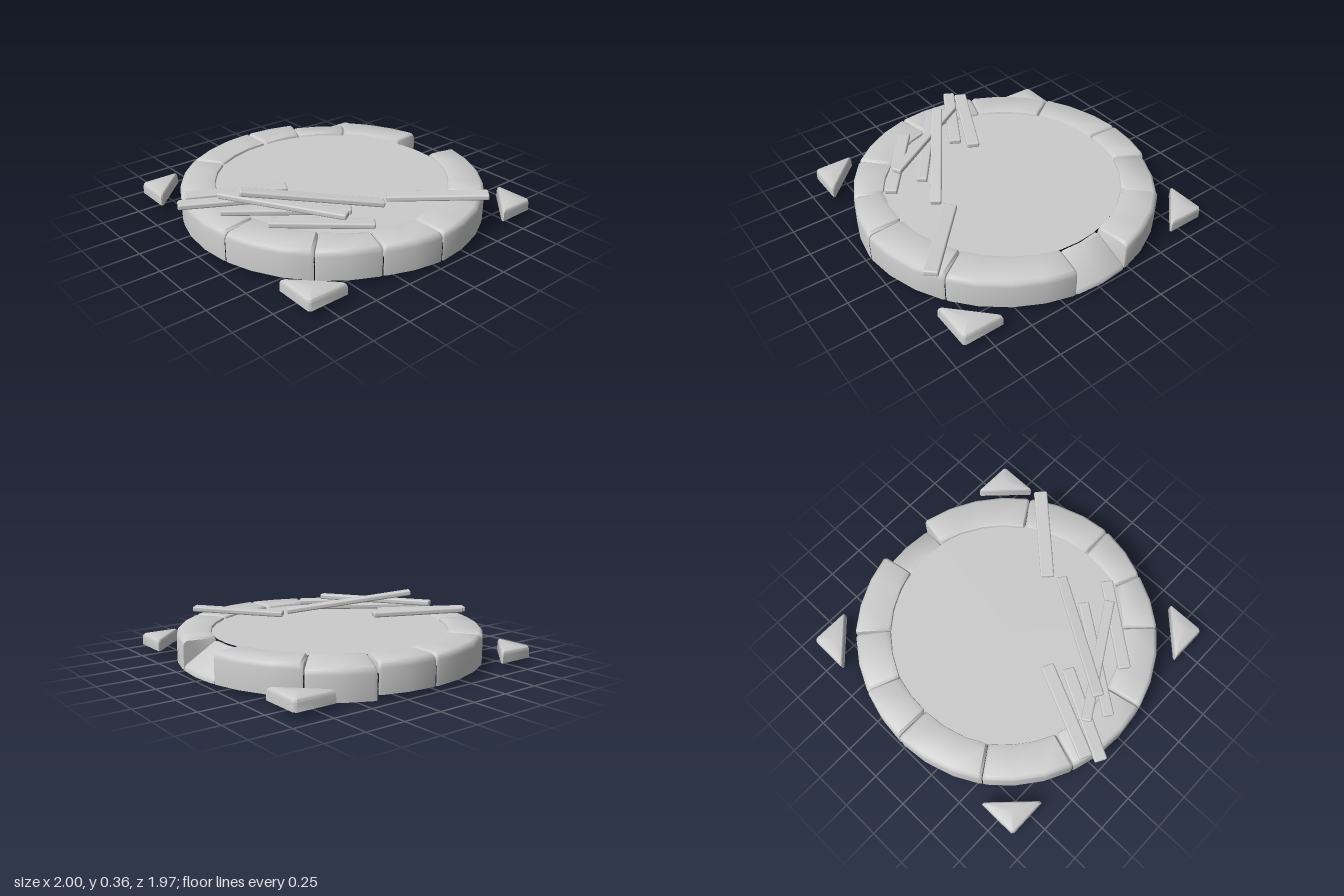
import * as THREE from 'three';
import { toCreasedNormals } from 'three/addons/utils/BufferGeometryUtils.js';
import { RoundedBoxGeometry } from 'three/addons/geometries/RoundedBoxGeometry.js';

const CX = 0.02; // ring centre on x

// Joints between rim stones: outer x, z then inner x, z
const JOINTS = [
  [0.025, -0.99, 0.025, -0.75], [0.39, -0.92, 0.3, -0.71], [0.73, -0.71, 0.57, -0.53],
  [0.99, -0.2, 0.77, -0.16], [0.99, 0.17, 0.78, 0.13], [0.585, 0.8, 0.45, 0.6],
  [0.03, 0.98, 0.02, 0.74], [-0.34, 0.88, -0.275, 0.7], [-0.665, 0.675, -0.5, 0.51],
  [-0.93, 0.19, -0.69, 0.14], [-0.88, -0.37, -0.66, -0.3], [-0.53, -0.82, -0.4, -0.63],
];

// Stone sections: [0 = inner edge .. 1 = outer edge, height]
const BLOCK = [[1, 0.03], [1, 0.18], [0.975, 0.205], [0.89, 0.22], [0.15, 0.22], [0.04, 0.213], [0, 0.185]];
const SAGGED = BLOCK.map(([t, y]) => [t, y - 0.03 * t]);
const FALLEN = [[1, 0.03], [1, 0.04], [0.95, 0.06], [0.1, 0.19], [0, 0.19]];

// Skin a grid of points, rows running along the loft
function loft(rows, crease) {
  const n = rows[0].length, index = [];
  for (let i = 0; i + 1 < rows.length; i++) {
    for (let j = 0; j + 1 < n; j++) {
      const a = i * n + j, c = a + n;
      index.push(a, a + 1, c, a + 1, c + 1, c);
    }
  }
  const geo = new THREE.BufferGeometry();
  geo.setAttribute('position', new THREE.Float32BufferAttribute(rows.flat(2), 3));
  geo.setIndex(index);
  return toCreasedNormals(geo, crease);
}

// Point on an arc between two joints, given as x, z pairs
function arcPoint(x0, z0, x1, z1, u) {
  const a0 = Math.atan2(z0, x0 - CX);
  let da = Math.atan2(z1, x1 - CX) - a0;
  if (da < 0) da += Math.PI * 2;
  const r = THREE.MathUtils.lerp(Math.hypot(x0 - CX, z0), Math.hypot(x1 - CX, z1), u);
  return [CX + r * Math.cos(a0 + da * u), r * Math.sin(a0 + da * u), da];
}

// Curved, hollow rim stone with rounded ends
function stoneGeometry(A, B, section, skirt0, skirt1) {
  const span = arcPoint(A[0], A[1], B[0], B[1], 0)[2];
  const segs = Math.max(2, Math.round(span / 0.19));
  const bevel = 0.02 / span;
  const row = (u, end, skirt) => {
    const o = arcPoint(A[0], A[1], B[0], B[1], u);
    const i = arcPoint(A[2], A[3], B[2], B[3], u);
    return section.map(([t, y]) => {
      const s = end ? 0.5 + (t - 0.5) * 0.96 : t;
      let h = end && y > 0.1 ? y - 0.014 : y;
      if (skirt !== undefined) h = Math.min(h, skirt);
      return [i[0] + (o[0] - i[0]) * s, h, i[1] + (o[1] - i[1]) * s];
    });
  };
  const e = 0.003 / span;
  const rows = [row(e, true, skirt0), row(e, true), row(bevel, false)];
  for (let k = 1; k < segs; k++) rows.push(row(k / segs, false));
  rows.push(row(1 - bevel, false), row(1 - e, true), row(1 - e, true, skirt1));
  return loft(rows, 0.8);
}

// Hollow triangular corner block, right angle at the outer corner
function cornerGeometry(sx, sz) {
  const L = 0.275;
  let pts = [[0, 0], [-L * sx, 0], [0, -L * sz]];
  if (sx * sz > 0) pts = [pts[0], pts[2], pts[1]];
  // clip each corner a little so the outline is softened
  const outline = [];
  pts.forEach((p, i) => {
    for (const q of [pts[(i + 2) % 3], pts[(i + 1) % 3]]) {
      outline.push([p[0] + (q[0] - p[0]) * 0.05, p[1] + (q[1] - p[1]) * 0.05]);
    }
  });
  const cx = -L * sx / 3, cz = -L * sz / 3;
  const levels = [[1, 0.04], [0.99, 0.09], [0.95, 0.107], [0.86, 0.115], [0, 0.116]];
  // columns run up the side, rows run round the outline
  const rows = [...outline, outline[0]].map(([x, z]) =>
    levels.map(([s, y]) => [cx + (x - cx) * s, y, cz + (z - cz) * s]));
  return loft(rows, 0.8);
}

// Planks: start x, y, z, end x, y, z, width
const PLANKS = [
  [-0.98, 0.238, -0.24, -0.44, 0.238, 0.055, 0.08],
  [-0.9, 0.25, -0.29, -0.33, 0.24, -0.02, 0.085],
  [-0.755, 0.285, -0.13, -0.335, 0.28, 0.57, 0.065],
  [-0.83, 0.245, 0, -0.21, 0.235, 0.46, 0.07],
  [-0.71, 0.345, 0.025, 0.02, 0.222, 0.5, 0.072],
  [-0.7, 0.25, 0.3, -0.22, 0.235, 0.68, 0.08],
  [0.09, 0.22, 0.44, 0.55, 0.248, 0.865, 0.09],
];

export function createModel() {
  const model = new THREE.Group();
  model.name = 'stonePlatform';
  const solid = new THREE.MeshStandardMaterial({ color: 0xcccccc });
  const shell = new THREE.MeshStandardMaterial({ color: 0xcccccc, side: THREE.DoubleSide });
  const add = (geo, name, mat) => {
    const mesh = new THREE.Mesh(geo, mat);
    mesh.name = name;
    model.add(mesh);
    return mesh;
  };

  // Floor disc inside the rim
  const floor = add(new THREE.CircleGeometry(0.77, 40), 'floor', shell);
  floor.rotation.x = -Math.PI / 2;
  floor.position.set(CX, 0.2, 0);

  // Rim stones; one has sagged and one has fallen outward as a ramp
  JOINTS.forEach((A, k) => {
    const B = JOINTS[(k + 1) % JOINTS.length];
    const section = k === 1 ? SAGGED : k === 3 ? FALLEN : BLOCK;
    const skirt = (j) => (j === 3 || j === 4 ? 0.03 : 0.15);
    add(stoneGeometry(A, B, section, skirt(k), skirt(k + 1)), 'rimStone' + (k + 1), shell);
  });

  // Four corner blocks
  for (const sx of [-1, 1]) {
    for (const sz of [-1, 1]) {
      const block = add(cornerGeometry(sx, sz), 'cornerBlock', shell);
      block.position.set(0.025 + 0.905 * sx, 0, -0.005 + 0.91 * sz);
    }
  }

  // Loose planks lying across the rim
  PLANKS.forEach(([x0, y0, z0, x1, y1, z1, w], i) => {
    const a = new THREE.Vector3(x0, y0, z0), b = new THREE.Vector3(x1, y1, z1);
    const plank = add(new RoundedBoxGeometry(w, 0.036, a.distanceTo(b), 2, 0.011), 'plank' + (i + 1), solid);
    plank.position.copy(a).lerp(b, 0.5);
    plank.lookAt(b);
  });

  return model;
}
